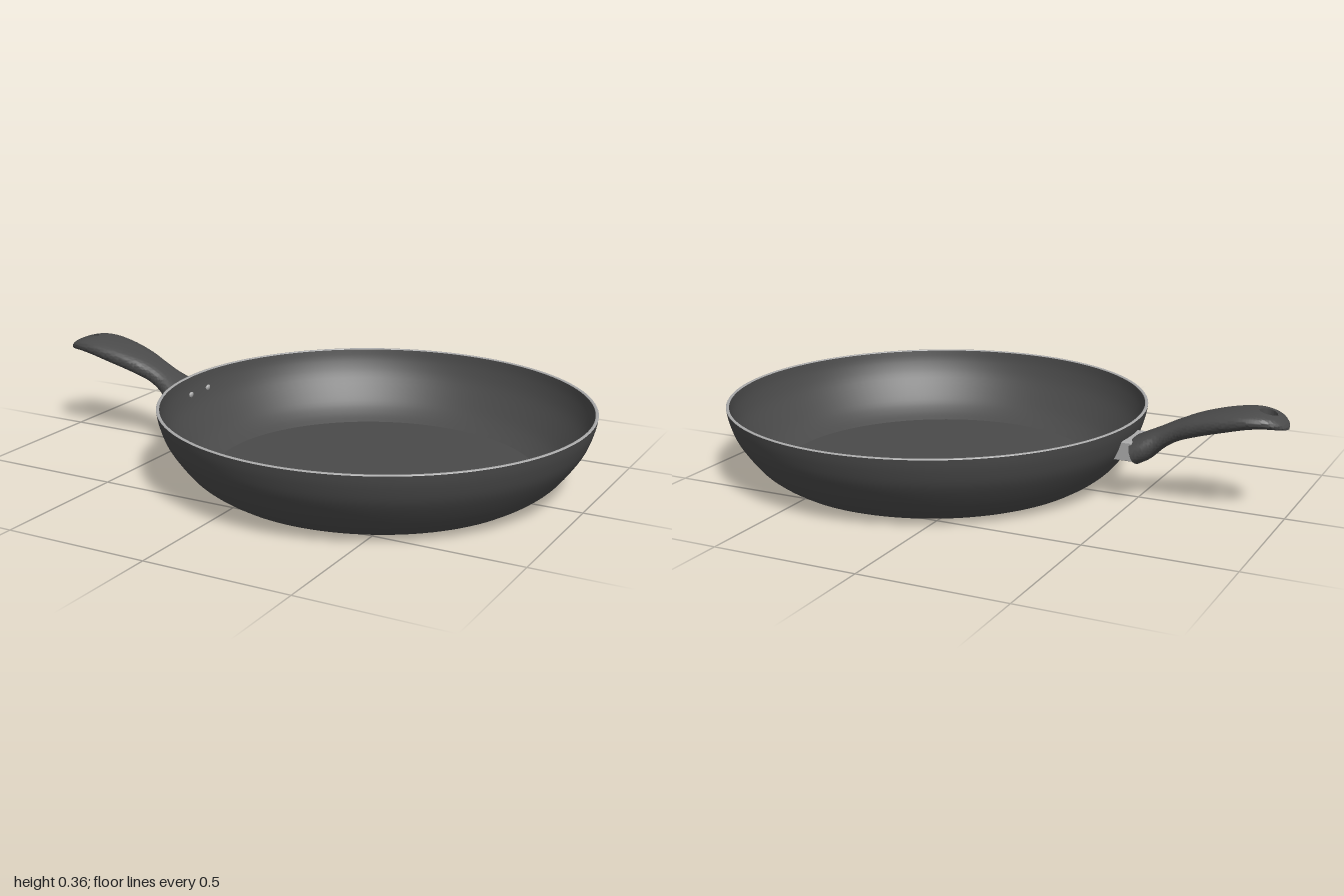
import * as THREE from 'three';
import { toCreasedNormals } from 'three/addons/utils/BufferGeometryUtils.js';

const PAN_X = 0.26;
const dark = new THREE.MeshStandardMaterial({ color: 0x4a4a4a });
const steel = new THREE.MeshStandardMaterial({ color: 0xaaaaaa });

function add(group, name, geometry, material) {
  const mesh = new THREE.Mesh(geometry, material);
  mesh.name = name;
  group.add(mesh);
  return mesh;
}

// Smooth curve through a few profile points
function smooth(points, n = 20) {
  return new THREE.SplineCurve(points.map(p => new THREE.Vector2(...p))).getPoints(n);
}

// Handle built as two mirrored halves, so the hanging hole opens between them
function handleGeometry() {
  // x, half width, top, bottom
  const rows = [
    [-1, 0.002, 0.307, 0.3], [-0.993, 0.03, 0.317, 0.3], [-0.97, 0.06, 0.337, 0.301],
    [-0.93, 0.081, 0.351, 0.301], [-0.88, 0.091, 0.355, 0.294], [-0.8, 0.091, 0.344, 0.273],
    [-0.7, 0.078, 0.316, 0.243], [-0.63, 0.066, 0.285, 0.216], [-0.58, 0.069, 0.257, 0.185],
    [-0.535, 0.088, 0.232, 0.148], [-0.5, 0.096, 0.213, 0.13],
  ];
  const heights = new THREE.CatmullRomCurve3(rows.map(r => new THREE.Vector3(r[0], r[2], r[3])));
  const widths = new THREE.CatmullRomCurve3(rows.map(r => new THREE.Vector3(r[0], r[1], 0)));
  const N = 120, M = 14, holeX = -0.93, holeR = 0.029, p = 2.5;
  const position = [];

  for (const side of [1, -1]) {
    const loops = [], open = [];
    for (let i = 0; i <= N; i++) {
      const { x, y: top, z: bottom } = heights.getPoint(i / N);
      const w = widths.getPoint(i / N).y;
      const a = Math.sqrt(Math.max(0, holeR ** 2 - (x - holeX) ** 2));
      const mid = (top + bottom) / 2, half = (top - bottom) / 2;
      const lean = 0.35 * Math.max(0, (x + 0.65) / 0.15);
      const loop = [];
      for (let j = 0; j < 2 * (M + 1); j++) {
        const up = j <= M;
        const t = (up ? j : 2 * M + 1 - j) / M;
        const z = a + (w - a) * Math.sin(t * Math.PI / 2);
        const h = half * Math.max(0, 1 - Math.min(1, z / w) ** p) ** (1 / p) * (up ? 1 : -1);
        loop.push([x + h * lean, mid + h, z * side]);
      }
      loops.push(loop);
      open.push(a > 0);
    }
    // Closing cap at the pan end
    loops.push(loops[N].map(() => [-0.5, 0.1715, 0]));
    open.push(false);

    const tri = (a, b, c) => position.push(...a, ...(side > 0 ? b : c), ...(side > 0 ? c : b));
    for (let i = 0; i <= N; i++) {
      const count = loops[i].length;
      for (let j = 0; j < count; j++) {
        const k = (j + 1) % count;
        if (k === 0 && !open[i] && !open[i + 1]) continue;
        const A = loops[i][j], B = loops[i][k], C = loops[i + 1][k], D = loops[i + 1][j];
        tri(A, B, D);
        tri(B, C, D);
      }
    }
  }
  const g = new THREE.BufferGeometry();
  g.setAttribute('position', new THREE.Float32BufferAttribute(position, 3));
  return toCreasedNormals(g, 0.8);
}

export function createModel() {
  const model = new THREE.Group();
  model.name = 'fryingPan';

  // Pan body: profiles run from the underside, up the wall and back in
  const pan = new THREE.Group();
  pan.name = 'pan';
  pan.position.x = PAN_X;
  model.add(pan);
  const V = (x, y) => new THREE.Vector2(x, y);
  const lathe = (name, points, material) => add(pan, name, new THREE.LatheGeometry(points, 128), material);
  lathe('underside', [V(0, 0), V(0.545, 0)], dark);
  lathe('baseStep', [V(0.545, 0), V(0.56, 0.006)], dark);
  lathe('outerWall', smooth([[0.56, 0.006], [0.605, 0.034], [0.648, 0.073], [0.705, 0.152], [0.73, 0.215], [0.739, 0.258]]), dark);
  lathe('rim', [V(0.739, 0.258), V(0.737, 0.261), V(0.73, 0.261), V(0.728, 0.258)], steel);
  lathe('innerWall', smooth([[0.728, 0.258], [0.719, 0.215], [0.693, 0.155], [0.638, 0.08], [0.597, 0.042], [0.56, 0.018]]), dark);
  lathe('cookingFloor', [V(0.56, 0.018), V(0, 0.018)], dark);

  // Bracket between the wall and the handle
  const plate = new THREE.Shape([V(-0.515, 0.148), V(-0.44, 0.148), V(-0.464, 0.207), V(-0.495, 0.207)]);
  const bracket = new THREE.ExtrudeGeometry(plate, {
    depth: 0.14, bevelEnabled: true, bevelSize: 0.004, bevelThickness: 0.008, bevelSegments: 3,
  });
  bracket.translate(0, 0, -0.07);
  add(model, 'handleBracket', bracket, steel);

  add(model, 'handle', handleGeometry(), dark);

  // Rivet heads on the inner wall
  for (const z of [-0.055, 0.055]) {
    const rivet = add(model, 'rivet', new THREE.SphereGeometry(0.012, 20, 12), steel);
    rivet.scale.x = 0.6;
    rivet.position.set(PAN_X - Math.sqrt(0.714 ** 2 - z * z), 0.2, z);
    rivet.rotation.z = -0.35;
  }
  return model;
}
